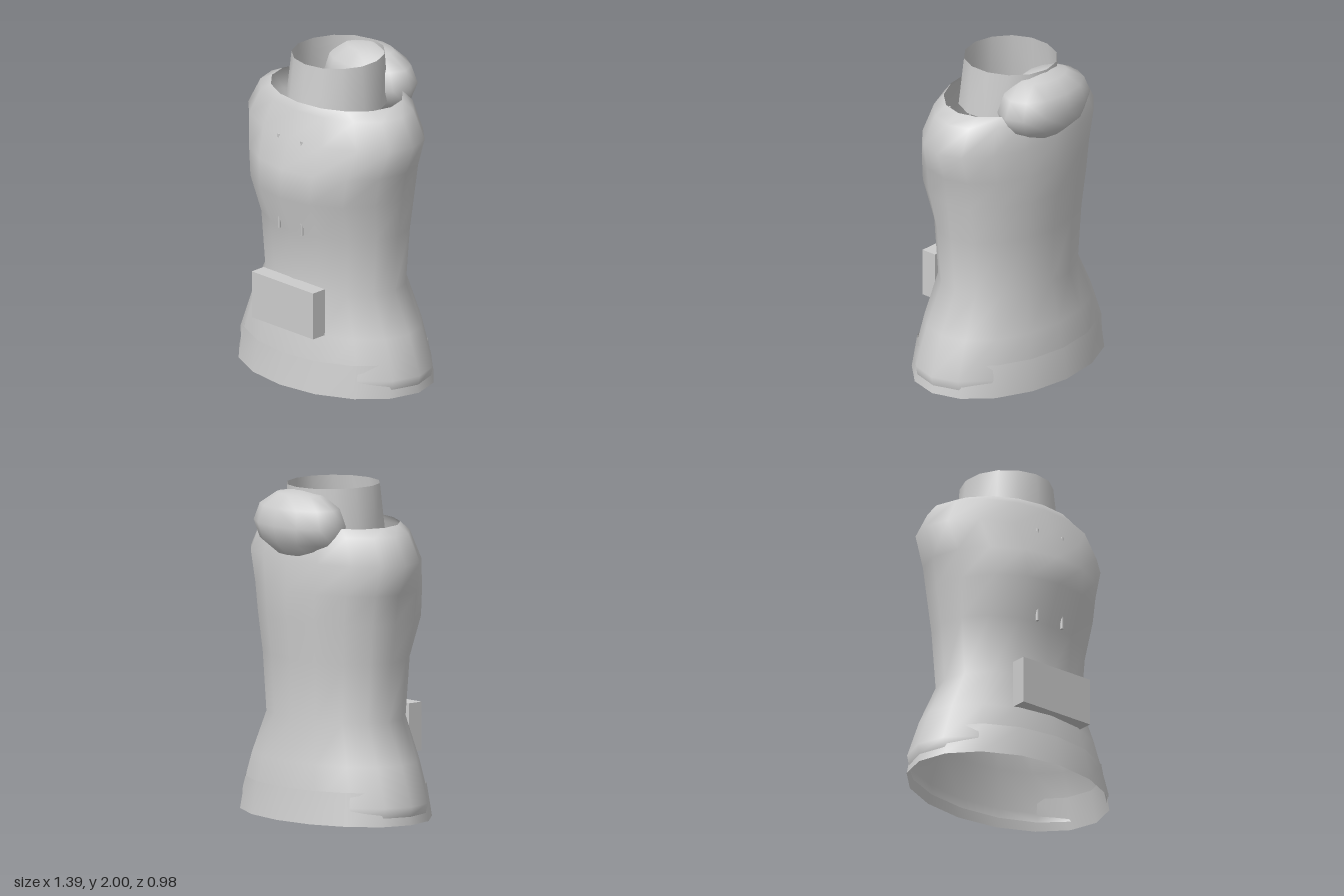
import * as THREE from 'three';

// Open shell through oval rings: [y, half width, front depth, back depth]
function loft(rings, sides) {
  const pos = [], idx = [];
  rings.forEach(([y, rx, front, back], r) => {
    for (let i = 0; i < sides; i++) {
      const a = (i / sides) * Math.PI * 2, c = Math.cos(a);
      pos.push(rx * Math.sin(a), y, c > 0 ? front * c : back * c);
      if (r === 0) continue;
      const j = (i + 1) % sides, lo = (r - 1) * sides, hi = r * sides;
      idx.push(lo + i, lo + j, hi + j, lo + i, hi + j, hi + i);
    }
  });
  const g = new THREE.BufferGeometry();
  g.setAttribute('position', new THREE.Float32BufferAttribute(pos, 3));
  g.setIndex(idx);
  g.computeVertexNormals();
  return g;
}

export function createModel() {
  const group = new THREE.Group();
  const fabric = new THREE.MeshStandardMaterial({ color: 0xcccccc, side: THREE.DoubleSide });
  fabric.name = 'light grey fabric';

  const add = (name, geometry, x = 0, y = 0, z = 0) => {
    const mesh = new THREE.Mesh(geometry, fabric);
    mesh.name = name;
    mesh.position.set(x, y, z);
    group.add(mesh);
    return mesh;
  };

  // Body, open at the neck and the waist
  add('body', loft([
    [0.05, 0.68, 0.45, 0.43],
    [0.11, 0.695, 0.45, 0.43],
    [0.35, 0.605, 0.415, 0.40],
    [0.60, 0.485, 0.37, 0.345],
    [0.96, 0.515, 0.39, 0.36],
    [1.20, 0.548, 0.488, 0.385],
    [1.38, 0.577, 0.475, 0.39],
    [1.565, 0.64, 0.41, 0.385],
    [1.73, 0.55, 0.36, 0.355],
    [1.775, 0.455, 0.335, 0.33],
  ], 16));

  // Hem band around the bottom
  add('hem', loft([
    [0, 0.687, 0.49, 0.465],
    [0.2, 0.645, 0.465, 0.44],
  ], 16));

  // Standing collar
  add('collar', loft([
    [1.70, 0.308, 0.305, 0.31],
    [2.0, 0.275, 0.272, 0.305],
  ], 14));

  // Folded hood behind the collar
  add('hood', new THREE.SphereGeometry(1, 12, 6), 0, 1.78, -0.28).scale.set(0.345, 0.21, 0.21);

  // Front pocket
  add('pocket', new THREE.BoxGeometry(0.515, 0.295, 0.1), 0, 0.5025, 0.415);

  // Drawstrings
  for (const [name, side] of [['leftDrawstring', 1], ['rightDrawstring', -1]])
    add(name, new THREE.CylinderGeometry(0.01, 0.01, 0.605, 6), side * 0.095, 1.2625, 0.397);

  return group;
}
